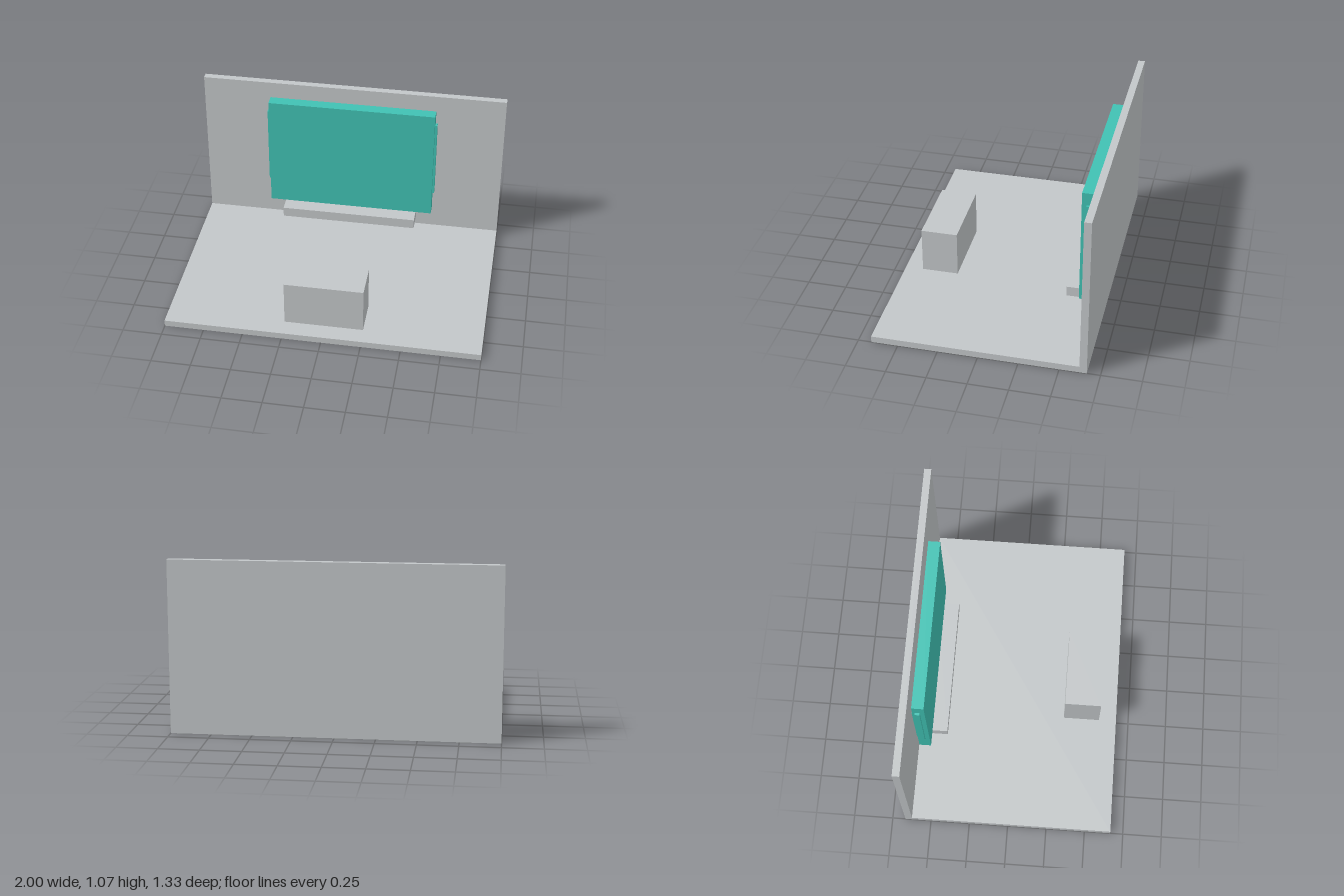
import * as THREE from 'three';

export function createModel() {
  const model = new THREE.Group();
  model.name = 'televisionSet';

  const grey = new THREE.MeshStandardMaterial({ name: 'pale grey', color: 0xc2c6c8 });
  const teal = new THREE.MeshStandardMaterial({ name: 'teal', color: 0x40c1b3 });

  // Box given by its extents along x, y and z
  function slab(name, material, [x0, x1], [y0, y1], [z0, z1]) {
    const mesh = new THREE.Mesh(new THREE.BoxGeometry(x1 - x0, y1 - y0, z1 - z0), material);
    mesh.position.set((x0 + x1) / 2, (y0 + y1) / 2, (z0 + z1) / 2);
    mesh.name = name;
    model.add(mesh);
  }

  // Room shell
  slab('floor', grey, [-1, 1], [0, 0.042], [-0.622, 0.667]);
  slab('backWall', grey, [-1, 1], [0, 1.068], [-0.667, -0.622]);

  // Furniture
  slab('table', grey, [-0.25, 0.25], [0.042, 0.341], [0.32, 0.553]);
  slab('shelf', grey, [-0.447, 0.447], [0.135, 0.201], [-0.58, -0.433]);

  // Screen with a thin rear cover and a strip on each side
  slab('screen', teal, [-0.55, 0.55], [0.201, 0.968], [-0.605, -0.53]);
  slab('rearCover', teal, [-0.545, 0.545], [0.38, 0.853], [-0.61, -0.605]);
  slab('leftStrip', teal, [0.55, 0.564], [0.352, 0.886], [-0.59, -0.558]);
  slab('rightStrip', teal, [-0.564, -0.55], [0.352, 0.886], [-0.59, -0.558]);

  return model;
}
